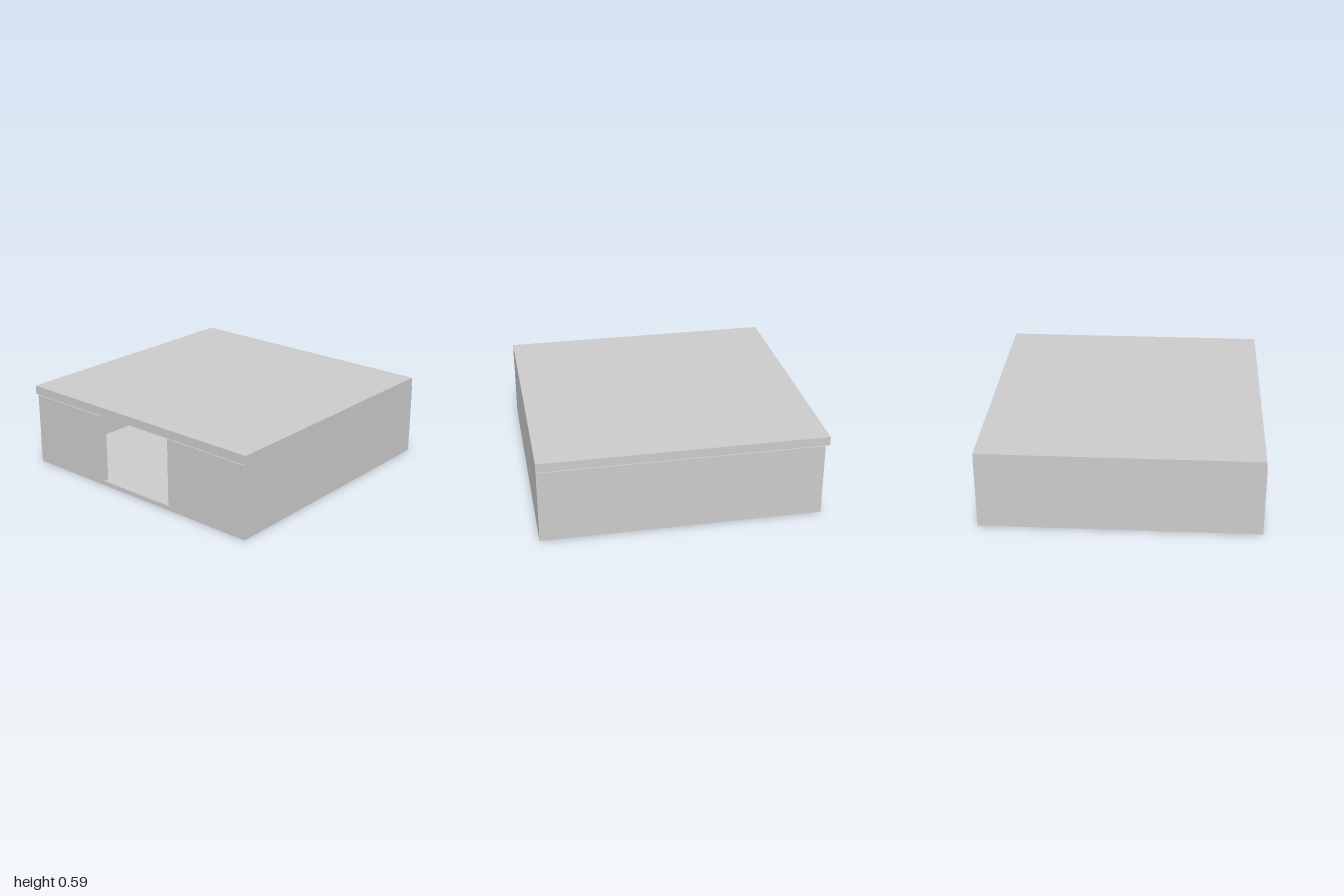
import * as THREE from 'three';

export function createModel() {
  const model = new THREE.Group();
  const material = new THREE.MeshStandardMaterial({ color: 0xcccccc, flatShading: true });

  // Box given by its lower and upper corners
  function block(name, [x0, y0, z0], [x1, y1, z1]) {
    const geometry = new THREE.BoxGeometry(x1 - x0, y1 - y0, z1 - z0);
    const mesh = new THREE.Mesh(geometry, material);
    mesh.position.set((x0 + x1) / 2, (y0 + y1) / 2, (z0 + z1) / 2);
    mesh.name = name;
    model.add(mesh);
  }

  const W = 0.982, back = -0.966, front = 1; // outline of the base
  const t = 0.04, floorTop = 0.033, wallTop = 0.524, lidTop = 0.587;
  const doorBack = -0.3, doorFront = 0.33;

  // Floor slab, flush with the doorway sill
  block('floor', [-W, 0, back], [W, floorTop, front]);

  // Walls around a hollow room
  block('frontWall', [-W, floorTop, front - t], [W, wallTop, front]);
  block('backWall', [-W, floorTop, back], [W, wallTop, back + t]);
  block('leftWall', [W - t, floorTop, back + t], [W, wallTop, front - t]);

  // Right wall, split by a full-height doorway
  block('rightWallBack', [-W, floorTop, back + t], [-W + t, wallTop, doorBack]);
  block('rightWallFront', [-W, floorTop, doorFront], [-W + t, wallTop, front - t]);

  // Flat roof, inset at the sides and overhanging the back
  block('roof', [-0.974, wallTop, -1], [0.974, lidTop, 1]);

  return model;
}
